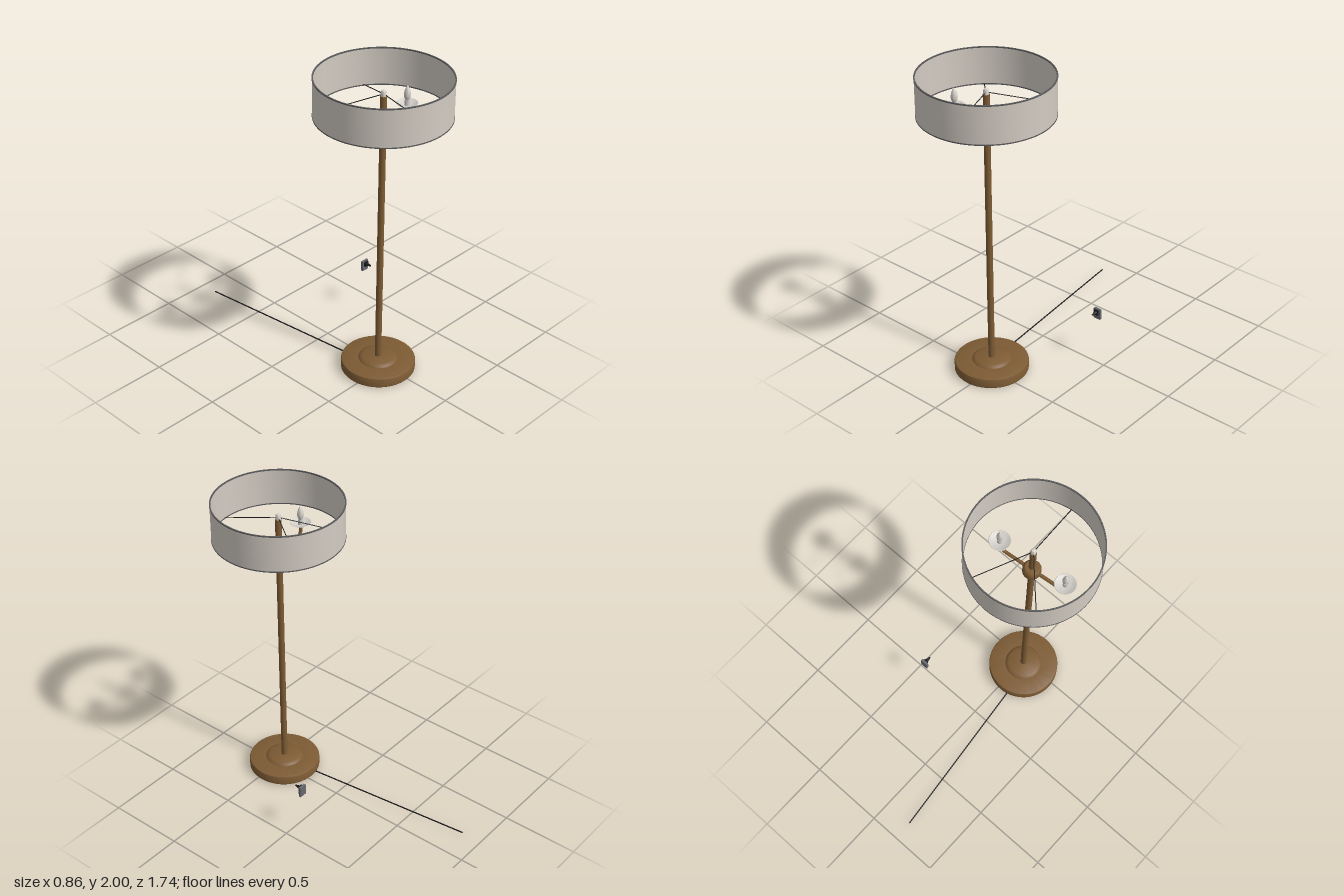
import * as THREE from 'three';
import { toCreasedNormals } from 'three/addons/utils/BufferGeometryUtils.js';

const mat = (name, color, side = THREE.FrontSide) => {
  const m = new THREE.MeshStandardMaterial({ color, side });
  m.name = name;
  return m;
};

export function createModel() {
  const bronze = mat('bronze', 0x7d5b34);
  const fabric = mat('shade fabric', 0xd2cbc2, THREE.DoubleSide);
  const trim = mat('grey trim', 0x5c5c5e);
  const black = mat('black', 0x1c1c1c);
  const glass = mat('pale glass', 0xd4d0ca, THREE.DoubleSide);
  const plate = mat('plug grey', 0x66696e);

  const model = new THREE.Group();
  const lamp = new THREE.Group();
  lamp.name = 'floorLamp';
  lamp.position.set(-0.025, 0, 0.465);
  model.add(lamp);

  const add = (parent, name, geometry, material, x = 0, y = 0, z = 0) => {
    const m = new THREE.Mesh(geometry, material);
    m.name = name;
    m.position.set(x, y, z);
    parent.add(m);
    return m;
  };
  // Turned part from [radius, height] pairs, listed bottom to top
  const turned = (pts, segments = 64) => toCreasedNormals(
    new THREE.LatheGeometry(pts.map(p => new THREE.Vector2(...p)), segments), 0.6);
  const rod = (a, b, r, sides = 8) => new THREE.TubeGeometry(
    new THREE.LineCurve3(new THREE.Vector3(...a), new THREE.Vector3(...b)), 1, r, sides);

  // Weighted base with raised step
  add(lamp, 'base', turned([
    [0, 0], [0.226, 0], [0.232, 0.007], [0.232, 0.058], [0.229, 0.064], [0.222, 0.067],
    [0.122, 0.067], [0.118, 0.073], [0.106, 0.08], [0.1, 0.083], [0, 0.083],
  ]), bronze);

  // Pole, hub and finial
  add(lamp, 'pole', new THREE.CylinderGeometry(0.02, 0.02, 1.8, 32), bronze, 0, 0.98, 0);
  add(lamp, 'hub', turned([
    [0.02, 1.604], [0.042, 1.604], [0.05, 1.61], [0.056, 1.624], [0.056, 1.66],
    [0.05, 1.674], [0.042, 1.682], [0.02, 1.682],
  ], 40), bronze);
  add(lamp, 'finial', turned([
    [0, 1.88], [0.017, 1.88], [0.017, 1.903], [0.012, 1.914], [0, 1.919],
  ], 24), glass);

  // Two curved arms, each with a dish and a candle bulb
  const v = (x, y) => new THREE.Vector3(x, y, 0);
  for (const [i, name] of ['leftArm', 'rightArm'].entries()) {
    const arm = new THREE.Group();
    arm.name = name;
    arm.rotation.y = 0.1 + i * Math.PI;
    lamp.add(arm);
    const path = new THREE.CurvePath();
    path.add(new THREE.LineCurve3(v(0.03, 1.645), v(0.18, 1.645)));
    path.add(new THREE.CubicBezierCurve3(v(0.18, 1.645), v(0.21, 1.645), v(0.231, 1.666), v(0.231, 1.695)));
    path.add(new THREE.LineCurve3(v(0.231, 1.695), v(0.231, 1.73)));
    add(arm, 'armTube', new THREE.TubeGeometry(path, 40, 0.011, 12), bronze);
    add(arm, 'dish', turned([
      [0, 1.722], [0.026, 1.722], [0.032, 1.728], [0.05, 1.737], [0.066, 1.748],
      [0.064, 1.75], [0.048, 1.742], [0.03, 1.735], [0, 1.734],
    ], 40), glass, 0.231);
    add(arm, 'bulbHolder', new THREE.CylinderGeometry(0.016, 0.016, 0.035, 24), glass, 0.231, 1.752, 0);
    add(arm, 'bulb', turned([
      [0.012, 1.768], [0.019, 1.785], [0.021, 1.8], [0.018, 1.822],
      [0.01, 1.845], [0.004, 1.856], [0, 1.859],
    ], 24), glass, 0.231);
  }

  // Drum shade with a rim at each edge
  add(lamp, 'shade', turned([
    [0.4, 1.762], [0.404, 1.762], [0.404, 1.998], [0.4, 1.998], [0.4, 1.762],
  ], 96), fabric);
  for (const [name, y] of [['lowerRim', 1.758], ['upperRim', 1.993]]) {
    add(lamp, name, turned([
      [0.398, y], [0.406, y], [0.406, y + 0.007], [0.398, y + 0.007], [0.398, y],
    ], 96), trim);
  }

  // Wire spokes from the finial down to the lower rim
  for (const [x, z] of [[-0.28, -0.285], [0.205, -0.344], [0.046, 0.397]]) {
    add(lamp, 'spoke', rod([0, 1.893, 0], [x, 1.765, z], 0.0028), black);
  }

  // Power cord along the floor
  add(model, 'cord', rod([-0.076, 0.012, 0.245], [-0.198, 0.012, -0.87], 0.0042), black);

  // Separate wall plug: plate with a tapered body facing front
  const plug = new THREE.Group();
  plug.name = 'wallPlug';
  plug.position.set(0.401, 0, 0);
  model.add(plug);
  add(plug, 'plugPlate', new THREE.BoxGeometry(0.05, 0.07, 0.016), plate, 0, 0.32, -0.054);
  add(plug, 'plugBody', new THREE.BoxGeometry(0.026, 0.034, 0.012), black, 0, 0.334, -0.04);
  const nose = new THREE.CylinderGeometry(0.004, 0.012, 0.034, 16);
  nose.rotateX(Math.PI / 2);
  add(plug, 'plugNose', nose, black, 0, 0.335, -0.017);

  return model;
}
